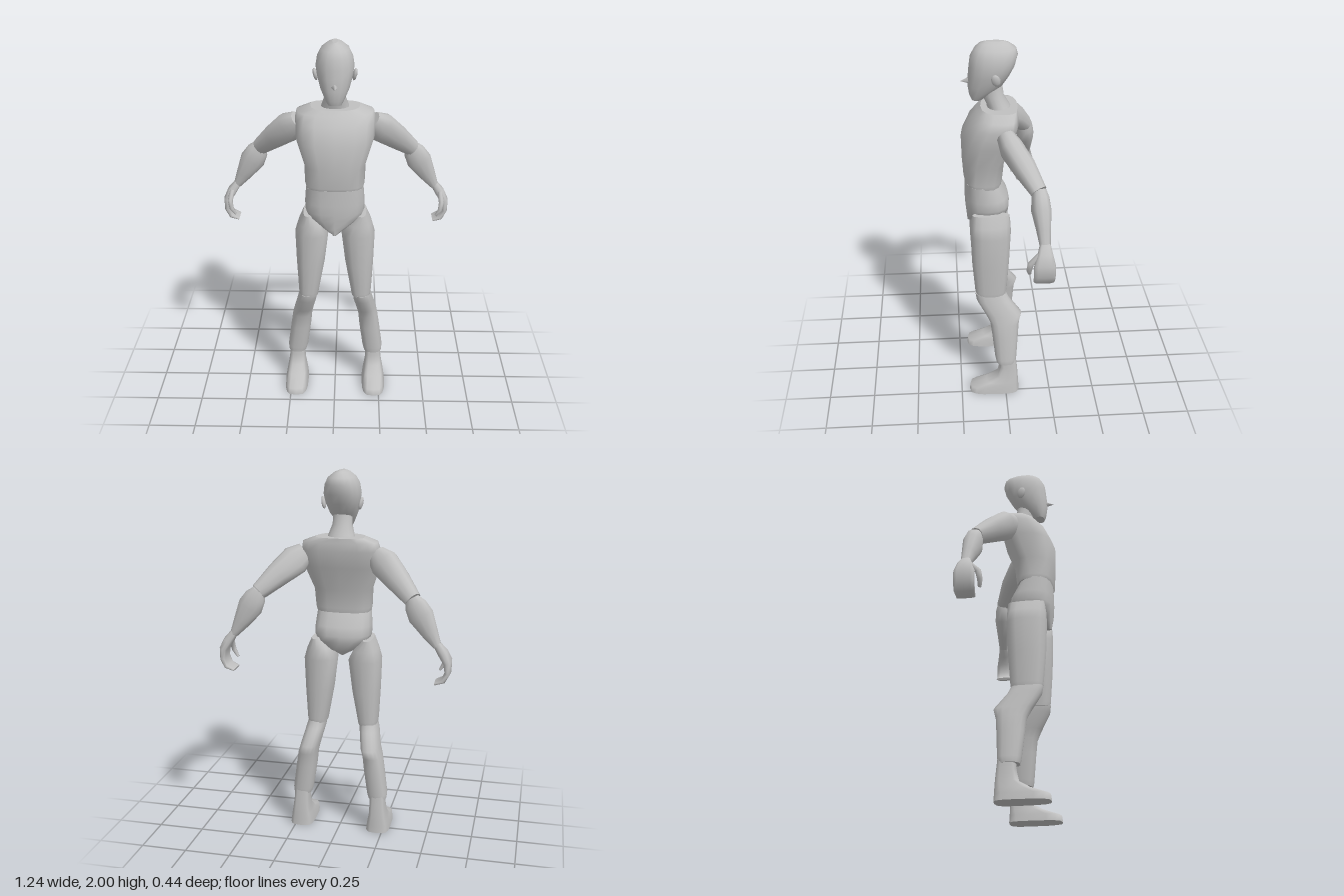
import * as THREE from 'three';

const UP = new THREE.Vector3(0, 1, 0);
const Z = new THREE.Vector3(0, 0, 1);

// Loft closed rings: [x, y, z, half width, front depth, back depth].
// Rings lie level, or square to the path when follow is true.
function loft(rings, { power = 2.3, sides = 16, follow = false, side = 1 } = {}) {
  const centres = rings.map(r => new THREE.Vector3(r[0] * side, r[1], r[2]));
  const pos = [], index = [];
  const last = rings.length - 1;
  const bend = v => Math.sign(v) * Math.pow(Math.abs(v), 2 / power);
  rings.forEach(([, , , w, front, back = front], i) => {
    const t = follow
      ? centres[Math.min(i + 1, last)].clone().sub(centres[Math.max(i - 1, 0)]).normalize()
      : UP;
    const u = new THREE.Vector3().crossVectors(t, Z).normalize();
    const v = new THREE.Vector3().crossVectors(u, t);
    for (let j = 0; j < sides; j++) {
      const a = j / sides * Math.PI * 2;
      const depth = -bend(Math.sin(a));
      const p = centres[i].clone()
        .addScaledVector(u, w * bend(Math.cos(a)))
        .addScaledVector(v, depth * (depth > 0 ? front : back));
      pos.push(p.x, p.y, p.z);
    }
  });
  for (let i = 0; i < last; i++) {
    for (let j = 0; j < sides; j++) {
      const k = (j + 1) % sides;
      const a = i * sides + j, b = i * sides + k;
      index.push(a, b, b + sides, a, b + sides, a + sides);
    }
  }
  // End caps have their own corners so the rims stay sharp
  for (const ring of [0, last]) {
    const start = pos.length / 3;
    for (let j = 0; j < sides; j++) {
      const o = (ring * sides + j) * 3;
      pos.push(pos[o], pos[o + 1], pos[o + 2]);
    }
    for (let j = 1; j < sides - 1; j++) {
      if (ring) index.push(start, start + j, start + j + 1);
      else index.push(start, start + j + 1, start + j);
    }
  }
  const g = new THREE.BufferGeometry();
  g.setAttribute('position', new THREE.Float32BufferAttribute(pos, 3));
  g.setIndex(index);
  g.computeVertexNormals();
  return g;
}

export function createModel() {
  const model = new THREE.Group();
  model.name = 'figure';
  const grey = new THREE.MeshStandardMaterial({ color: 0xc0c0c0 });
  grey.name = 'grey';
  const add = (name, geometry) => {
    const mesh = new THREE.Mesh(geometry, grey);
    mesh.name = name;
    model.add(mesh);
    return mesh;
  };

  // Head and neck
  add('head', loft([
    [0, 1.70, 0.135, 0.035, 0.025, 0.03],
    [0, 1.725, 0.12, 0.05, 0.05, 0.05],
    [0, 1.775, 0.09, 0.074, 0.088, 0.088],
    [0, 1.83, 0.06, 0.09, 0.115, 0.095],
    [0, 1.88, 0.05, 0.098, 0.12, 0.112],
    [0, 1.93, 0.045, 0.09, 0.118, 0.12],
    [0, 1.965, 0.045, 0.072, 0.098, 0.112],
    [0, 1.99, 0.045, 0.04, 0.072, 0.078],
    [0, 2.0, 0.045, 0.014, 0.045, 0.05],
  ], { power: 2.2 }));
  add('neck', loft([
    [0, 1.63, 0.015, 0.08, 0.065, 0.065],
    [0, 1.67, 0.025, 0.07, 0.058, 0.06],
    [0, 1.72, 0.045, 0.053, 0.06, 0.05],
    [0, 1.79, 0.06, 0.05, 0.06, 0.055],
  ], { power: 2 }));
  const nose = add('nose', new THREE.ConeGeometry(0.02, 0.05, 4));
  nose.rotation.x = Math.PI / 2 + 0.1;
  nose.position.set(0, 1.797, 0.19);

  // Torso and hips
  add('torso', loft([
    [0, 1.245, 0.1, 0.148, 0.095, 0.09],
    [0, 1.27, 0.1, 0.155, 0.108, 0.095],
    [0, 1.37, 0.08, 0.16, 0.135, 0.085],
    [0, 1.5, 0.035, 0.205, 0.183, 0.09],
    [0, 1.59, 0.0, 0.21, 0.175, 0.077],
    [0, 1.635, -0.01, 0.2, 0.145, 0.065],
    [0, 1.66, -0.01, 0.13, 0.125, 0.065],
  ], { power: 2.7 }));
  add('hips', loft([
    [0, 1.0, 0.12, 0.015, 0.072, 0.08],
    [0, 1.035, 0.1, 0.075, 0.095, 0.11],
    [0, 1.085, 0.085, 0.14, 0.115, 0.115],
    [0, 1.12, 0.085, 0.157, 0.118, 0.118],
    [0, 1.17, 0.09, 0.157, 0.115, 0.115],
    [0, 1.255, 0.11, 0.15, 0.092, 0.085],
  ], { power: 2.5 }));

  for (const [label, side] of [['left', 1], ['right', -1]]) {
    const part = (name, rings, options) =>
      add(label + name, loft(rings, { side, ...options }));

    // Ear
    const ear = add(label + 'Ear', new THREE.SphereGeometry(1, 8, 6));
    ear.scale.set(0.012, 0.034, 0.023);
    ear.position.set(side * 0.1, 1.83, 0.04);
    ear.rotation.set(0.3, 0, -side * 0.2);

    // Arm
    part('UpperArm', [
      [0.19, 1.57, 0.0, 0.055, 0.045],
      [0.24, 1.53, -0.025, 0.08, 0.06],
      [0.32, 1.46, -0.085, 0.066, 0.06],
      [0.41, 1.375, -0.148, 0.045, 0.042],
    ], { follow: true, sides: 12 });
    part('Forearm', [
      [0.405, 1.385, -0.15, 0.035, 0.033],
      [0.425, 1.35, -0.154, 0.058, 0.044],
      [0.455, 1.295, -0.157, 0.068, 0.05],
      [0.505, 1.21, -0.165, 0.044, 0.036],
      [0.545, 1.145, -0.17, 0.022, 0.027],
    ], { follow: true, sides: 12 });
    part('Hand', [
      [0.542, 1.155, -0.17, 0.02, 0.026],
      [0.575, 1.11, -0.168, 0.026, 0.04],
      [0.6, 1.065, -0.165, 0.022, 0.054],
      [0.603, 1.01, -0.165, 0.016, 0.054],
      [0.583, 0.968, -0.165, 0.013, 0.053],
      [0.54, 0.951, -0.165, 0.007, 0.048],
    ], { follow: true, sides: 12, power: 3 });
    part('Thumb', [
      [0.575, 1.115, -0.14, 0.014, 0.014],
      [0.582, 1.07, -0.098, 0.014, 0.016],
      [0.575, 1.03, -0.09, 0.012, 0.014],
      [0.553, 0.995, -0.095, 0.006, 0.009],
    ], { follow: true, sides: 8 });

    // Leg
    part('Thigh', [
      [0.143, 0.605, 0.075, 0.052, 0.08],
      [0.143, 0.63, 0.075, 0.056, 0.086],
      [0.132, 0.8, 0.075, 0.076, 0.1],
      [0.124, 0.98, 0.073, 0.09, 0.108],
      [0.13, 1.04, 0.073, 0.066, 0.106],
      [0.142, 1.1, 0.073, 0.025, 0.098],
    ], { power: 2.5 });
    part('Shin', [
      [0.216, 0.19, -0.003, 0.05, 0.054],
      [0.213, 0.22, -0.003, 0.056, 0.06],
      [0.194, 0.36, 0.0, 0.056, 0.072],
      [0.184, 0.44, 0.002, 0.054, 0.08],
      [0.171, 0.49, 0.008, 0.052, 0.1],
      [0.153, 0.575, 0.065, 0.052, 0.09],
      [0.146, 0.615, 0.077, 0.048, 0.084],
    ], { power: 2.5 });
    part('Foot', [
      [0.22, 0.0, 0.02, 0.066, 0.185, 0.096],
      [0.22, 0.035, 0.02, 0.062, 0.18, 0.094],
      [0.22, 0.065, 0.0, 0.056, 0.11, 0.072],
      [0.22, 0.1, -0.01, 0.049, 0.058, 0.06],
      [0.218, 0.16, -0.015, 0.043, 0.048, 0.05],
      [0.216, 0.235, -0.012, 0.04, 0.042, 0.045],
    ], { power: 3.4 });
  }
  return model;
}
